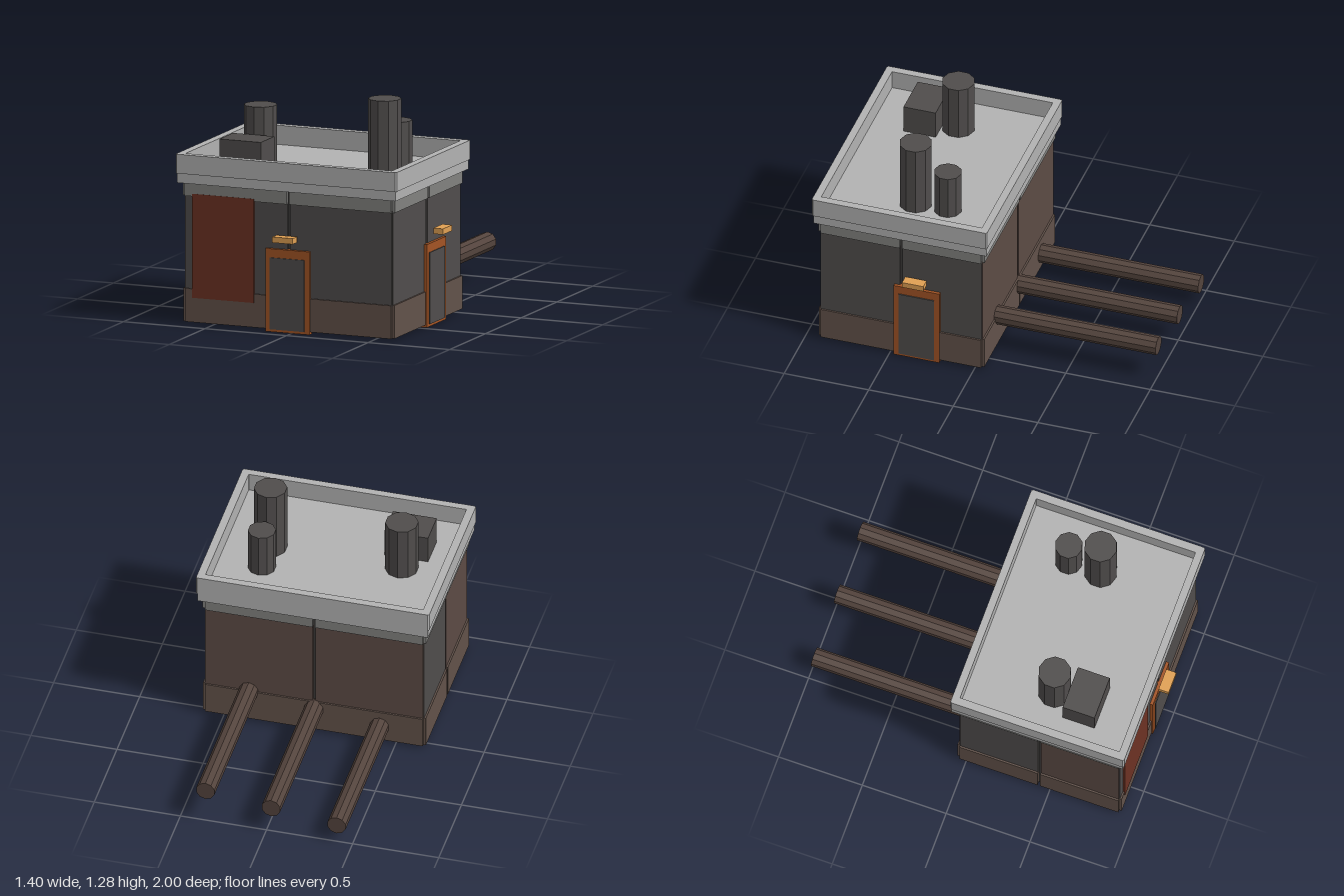
import * as THREE from 'three';

const mats = {};
function mat(color) {
  return (mats[color] ??= new THREE.MeshStandardMaterial({ color, flatShading: true }));
}

const WALL = 0x504d4c, BRICK = 0x5c4b45, PLINTH = 0x62524a, FRIEZE = 0x82827f;
const ROOF = 0xb2b2b2, ORANGE = 0xa35425, RED = 0x6c3223, LAMP = 0xe0a053, PIPE = 0x54443d;

// Building centre in plan, and half sizes of the wall faces
const CX = -0.025, CZ = 0.435, HX = 0.637, HZ = 0.479;

export function createModel() {
  const model = new THREE.Group();

  function add(parent, name, geometry, color, x = 0, y = 0, z = 0) {
    const mesh = new THREE.Mesh(geometry, mat(color));
    mesh.name = name;
    mesh.position.set(x, y, z);
    parent.add(mesh);
    return mesh;
  }
  // Box given by its limits on each axis
  function box(parent, name, color, [x0, x1], [y0, y1], [z0, z1]) {
    return add(parent, name, new THREE.BoxGeometry(x1 - x0, y1 - y0, z1 - z0), color,
      (x0 + x1) / 2, (y0 + y1) / 2, (z0 + z1) / 2);
  }

  // Recessed core, seen in the seams between the wall panels
  box(model, 'core', 0x3b3938, [CX - HX + 0.012, CX + HX - 0.012], [0.02, 0.83],
    [CZ - HZ + 0.012, CZ + HZ - 0.012]);

  // Two panels per side, each with a plinth below and a frieze above.
  // Each side is laid out in its own frame, whose +z faces outwards.
  const sides = [
    { name: 'front', angle: 0, half: HX, out: HZ, colors: [WALL, WALL] },
    { name: 'left', angle: Math.PI / 2, half: HZ, out: HX, colors: [WALL, WALL] },
    { name: 'back', angle: Math.PI, half: HX, out: HZ, colors: [BRICK, BRICK] },
    { name: 'right', angle: -Math.PI / 2, half: HZ, out: HX, colors: [WALL, BRICK] },
  ];
  const walls = {};
  for (const { name, angle, half, out, colors } of sides) {
    const side = new THREE.Group();
    side.name = name + 'Wall';
    side.position.set(CX, 0, CZ);
    side.rotation.y = angle;
    colors.forEach((color, i) => {
      const span = i ? [0.008, half - 0.005] : [0.005 - half, -0.008];
      box(side, 'wallPanel', color, span, [0.2, 0.75], [out - 0.03, out]);
      box(side, 'plinth', PLINTH, span, [0.02, 0.21], [out - 0.03, out + 0.01]);
      box(side, 'frieze', FRIEZE, span, [0.74, 0.82], [out - 0.03, out + 0.012]);
    });
    model.add(side);
    walls[name] = side;
  }

  // Door with its frame and the lamp above, on the front and left walls
  function doorway(side, x, out) {
    const shape = new THREE.Shape();
    shape.moveTo(-0.135, 0.005).lineTo(0.135, 0.005).lineTo(0.135, 0.48).lineTo(-0.135, 0.48);
    const hole = new THREE.Path();
    hole.moveTo(-0.105, 0.02).lineTo(-0.105, 0.43).lineTo(0.105, 0.43).lineTo(0.105, 0.02);
    shape.holes.push(hole);
    const frame = new THREE.ExtrudeGeometry(shape, { depth: 0.035, bevelEnabled: false });
    add(side, 'doorFrame', frame, ORANGE, x, 0, out - 0.017);
    box(side, 'door', WALL, [x - 0.105, x + 0.105], [0.02, 0.43], [out - 0.02, out + 0.024]);
    box(side, 'lamp', LAMP, [x - 0.063, x + 0.063], [0.53, 0.563], [out + 0.026, out + 0.086]);
  }
  doorway(walls.front, 0, HZ);
  doorway(walls.left, 0.095, HX);

  // Large shutter on the front
  box(model, 'shutter', RED, [-0.61, -0.233], [0.16, 0.755], [0.9, 0.928]);

  // Roof slab and the parapet around it
  const slabY = 0.87;
  box(model, 'roofSlab', ROOF, [-0.694, 0.644], [0.815, slabY], [-0.078, 0.945]);

  function outline(Type, w, d, c) {
    return new Type([[-w, c - d], [c - w, -d], [w - c, -d], [w, c - d],
      [w, d - c], [w - c, d], [c - w, d], [-w, d - c]].map(([x, y]) => new THREE.Vector2(x, y)));
  }
  const rim = outline(THREE.Shape, 0.677, 0.518, 0.008);
  rim.holes.push(outline(THREE.Path, 0.632, 0.475, 0.001));
  const parapet = new THREE.ExtrudeGeometry(rim, { depth: 0.98 - slabY, bevelEnabled: false });
  parapet.rotateX(-Math.PI / 2);
  add(model, 'parapet', parapet, ROOF, CX, slabY, CZ);

  // Roof vents
  for (const [x, z, r, top] of [
    [-0.407, 0.435, 0.094, 1.195],
    [0.355, 0.435, 0.094, 1.29],
    [0.355, 0.245, 0.079, 1.132],
  ]) {
    add(model, 'chimney', new THREE.CylinderGeometry(r, r, top - slabY, 10), WALL,
      x, (top + slabY) / 2, z);
  }
  box(model, 'roofUnit', WALL, [-0.535, -0.281], [slabY, 1.037], [0.528, 0.718]);

  // Pipes leaving the back at stepped heights
  for (const [x, y] of [[-0.407, 0.116], [-0.026, 0.163], [0.355, 0.21]]) {
    const pipe = new THREE.CylinderGeometry(0.055, 0.055, 0.97, 10);
    pipe.rotateX(Math.PI / 2);
    add(model, 'pipe', pipe, PIPE, x, y, -0.515);
  }

  return model;
}
